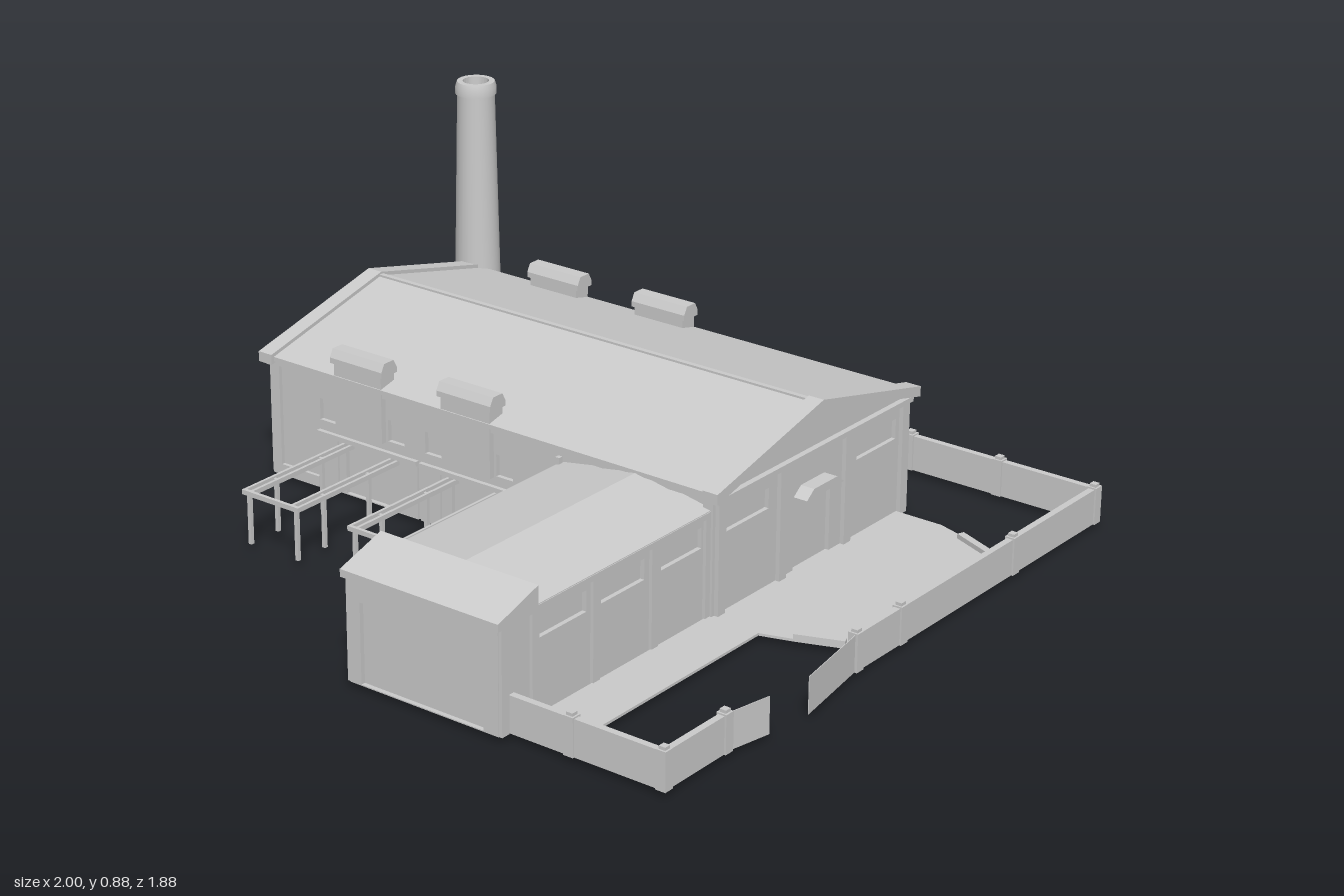
import * as THREE from 'three';
import { toCreasedNormals } from 'three/addons/utils/BufferGeometryUtils.js';

const mat = new THREE.MeshStandardMaterial({ color: 0xcccccc, side: THREE.DoubleSide });
const BASE = 0.015;

function add(parent, name, geo) {
  const m = new THREE.Mesh(geo, mat);
  m.name = name;
  parent.add(m);
  return m;
}

// Box given by its limits on each axis
function box(parent, name, x0, x1, y0, y1, z0, z1) {
  const m = add(parent, name, new THREE.BoxGeometry(x1 - x0, y1 - y0, z1 - z0));
  m.position.set((x0 + x1) / 2, (y0 + y1) / 2, (z0 + z1) / 2);
  return m;
}

// Polygon extruded along local z from w0 to w1
function prism(parent, name, pts, w0, w1, holes = []) {
  const shape = new THREE.Shape(pts.map(p => new THREE.Vector2(...p)));
  shape.holes = holes;
  const geo = new THREE.ExtrudeGeometry(shape, { depth: w1 - w0, bevelEnabled: false, curveSegments: 8 });
  geo.translate(0, 0, w0);
  return add(parent, name, geo);
}

// Local frame of a wall: x along the wall, y up, z outwards
function face(parent, name, x, z, angle) {
  const g = new THREE.Group();
  g.name = name;
  g.position.set(x, 0, z);
  g.rotation.y = angle;
  parent.add(g);
  return g;
}

function opening([u0, u1, v0, v1, arched]) {
  const p = new THREE.Path();
  p.moveTo(u0, v0);
  p.lineTo(u1, v0);
  if (arched) {
    const r = (u1 - u0) / 2;
    p.lineTo(u1, v1 - r);
    p.absarc(u0 + r, v1 - r, r, 0, Math.PI, false);
  } else {
    p.lineTo(u1, v1);
    p.lineTo(u0, v1);
  }
  p.closePath();
  return p;
}

// Thin wall with openings, each closed by a recessed pane
function wall(parent, pts, openings) {
  prism(parent, 'wall', pts, -0.015, 0, openings.map(opening));
  for (const [u0, u1, v0, v1] of openings)
    box(parent, 'recessedPane', u0 - 0.003, u1 + 0.003, v0 - 0.003, v1 + 0.003, -0.018, -0.012);
}

const rect = (u0, u1, v0, v1) => [[u0, v0], [u1, v0], [u1, v1], [u0, v1]];

// Upright strip standing on the ground between two plan points
function strip(parent, name, [x0, z0], [x1, z1], y0, y1, t) {
  const m = add(parent, name, new THREE.BoxGeometry(Math.hypot(x1 - x0, z1 - z0), y1 - y0, t));
  m.position.set((x0 + x1) / 2, (y0 + y1) / 2, (z0 + z1) / 2);
  m.rotation.y = -Math.atan2(z1 - z0, x1 - x0);
}

// Vent shaft with a bevelled cap on a long hall wall
function vent(side, u) {
  box(side, 'ventShaft', u - 0.08, u + 0.08, 0.2, 0.39, -0.035, 0.016);
  const cap = prism(side, 'ventCap',
    [[-0.03, 0.385], [0.03, 0.385], [0.03, 0.4], [0.018, 0.422], [-0.018, 0.422], [-0.03, 0.4]], -0.088, 0.088);
  cap.rotation.y = Math.PI / 2;
  cap.position.set(u, 0, -0.008);
}

function buildHall(root) {
  const hall = new THREE.Group();
  hall.name = 'mainHall';
  root.add(hall);
  const squares = [-0.72, -0.485, -0.36, -0.125];
  const vents = [-0.6, -0.24];
  const square = u => [u - 0.027, u + 0.027, 0.205, 0.265];

  // Front wall with two loading doors
  const front = face(hall, 'hallFront', 0, 0.13, 0);
  wall(front, rect(-0.91, 0.53, BASE, 0.35),
    [...squares.map(square), [-0.66, -0.47, 0.018, 0.165], [-0.3, -0.12, 0.018, 0.165]]);
  for (const c of [-0.58, -0.23]) {
    box(front, 'doorLintel', c - 0.17, c + 0.17, 0.165, 0.178, 0, 0.012);
    for (const s of [-1, 1]) box(front, 'doorJamb', c + s * 0.137 - 0.033, c + s * 0.137 + 0.033, BASE, 0.165, 0, 0.006);
  }
  box(front, 'plinth', -0.91, -0.75, BASE, 0.045, 0, 0.01);
  box(front, 'plinth', -0.06, 0.07, BASE, 0.045, 0, 0.01);

  // Back wall with arched windows
  const back = face(hall, 'hallBack', 0, -0.69, Math.PI);
  wall(back, rect(-0.53, 0.91, BASE, 0.35),
    [...squares.map(x => square(-x)), ...[0.18, 0.28, 0.38].map(x => [-x - 0.035, -x + 0.035, 0.1, 0.24, true])]);
  box(back, 'buttress', 0.39, 0.45, BASE, 0.11, 0, 0.02);

  for (const [side, dir] of [[front, 1], [back, -1]]) {
    const a = dir > 0 ? -0.91 : -0.53, b = dir > 0 ? 0.53 : 0.91;
    box(side, 'cornice', a, b, 0.325, 0.345, 0, 0.012);
    box(side, 'cornerPier', a, a + 0.03, BASE, 0.325, 0, 0.01);
    box(side, 'cornerPier', b - 0.03, b, BASE, 0.325, 0, 0.01);
    for (const u of vents) vent(side, u * dir);
  }

  // Gable ends, each with three bays
  const right = face(hall, 'rightGable', 0.53, -0.28, Math.PI / 2);
  const left = face(hall, 'leftGable', -0.91, -0.28, -Math.PI / 2);
  for (const g of [right, left]) {
    const windows = [[-0.365, -0.19, 0.23, 0.285], [0.19, 0.365, 0.23, 0.285]];
    windows.push(g === right ? [-0.08, 0.075, 0.018, 0.21] : [-0.09, 0.09, 0.23, 0.285]);
    wall(g, [[-0.41, BASE], [0.41, BASE], [0.41, 0.345], [0, 0.445], [-0.41, 0.345]], windows);
    for (const u of [-0.41, -0.155, 0.125, 0.38]) box(g, 'pilaster', u, u + 0.03, BASE, 0.32, 0, 0.012);
    box(g, 'tieBeam', -0.42, 0.42, 0.32, 0.334, 0, 0.016);
    prism(g, 'gableCoping',
      [[-0.437, 0.33], [0, 0.436], [0.437, 0.33], [0.437, 0.358], [0, 0.462], [-0.437, 0.358]], -0.02, 0.025);
  }
  const awning = prism(right, 'doorAwning', [[-0.08, 0.222], [0.08, 0.222], [0.05, 0.245], [-0.05, 0.245]], 0, 0.04);
  awning.position.x = -0.003;

  // Pitched roof and its ridge strip
  prism(right, 'hallRoof',
    [[-0.428, 0.338], [0, 0.44], [0.428, 0.338], [0.428, 0.35], [0, 0.452], [-0.428, 0.35]], -1.42, -0.015);
  box(hall, 'ridgeStrip', -0.9, 0.52, 0.447, 0.456, -0.287, -0.273);
}

function buildWing(root) {
  const wing = new THREE.Group();
  wing.name = 'frontWing';
  root.add(wing);
  const right = face(wing, 'wingRight', 0.515, 0.53, Math.PI / 2);
  const left = face(wing, 'wingLeft', 0.065, 0.53, -Math.PI / 2);
  for (const [g, s] of [[right, 1], [left, -1]]) {
    const win = [[-0.26, -0.08], [-0.025, 0.14], [0.205, 0.365]]
      .map(([a, b]) => (s > 0 ? [a, b] : [-b, -a])).map(([a, b]) => [a, b, 0.21, 0.265]);
    wall(g, rect(-0.4, 0.4, BASE, 0.3), win);
    for (const u of [-0.385, -0.275, -0.052, 0.172, 0.385])
      box(g, 'pilaster', s * u - 0.013, s * u + 0.013, BASE, 0.29, 0, 0.009);
    box(g, 'eaveBand', -0.4, 0.4, 0.285, 0.3, 0, 0.009);
  }
  const front = face(wing, 'wingFront', 0, 0.93, 0);
  wall(front, rect(0.065, 0.515, BASE, 0.3), [[0.1, 0.47, 0.018, 0.23]]);

  // Low gabled roof, with a sloping roof over the entrance end
  prism(wing, 'wingRoof',
    [[0.06, 0.29], [0.3, 0.33], [0.522, 0.29], [0.522, 0.302], [0.3, 0.343], [0.06, 0.302]], 0.13, 0.8);
  const porch = prism(wing, 'entranceRoof', [[-0.94, 0.285], [-0.795, 0.285], [-0.795, 0.35], [-0.94, 0.305]], 0.05, 0.524);
  porch.rotation.y = Math.PI / 2;
  box(wing, 'downpipe', 0.054, 0.066, 0, 0.32, 0.137, 0.15);
}

// Open frame in front of a loading door
function buildLoadingFrame(root, x0, x1) {
  const g = new THREE.Group();
  g.name = 'loadingFrame';
  root.add(g);
  for (const [x, s] of [[x0, 1], [x1, -1]]) {
    for (const o of [0.004, 0.026]) box(g, 'rail', x + s * o - 0.004, x + s * o + 0.004, 0.152, 0.165, 0.13, 0.52);
    for (const z of [0.24, 0.41, 0.51]) {
      box(g, 'leg', x + s * 0.015 - 0.005, x + s * 0.015 + 0.005, BASE, 0.155, z - 0.005, z + 0.005);
      box(g, 'tie', x + s * 0.015 - 0.012, x + s * 0.015 + 0.012, 0.152, 0.16, z - 0.004, z + 0.004);
    }
  }
  box(g, 'endRail', x0, x1, 0.152, 0.165, 0.512, 0.522);
}

function buildYard(root) {
  const yard = new THREE.Group();
  yard.name = 'yard';
  root.add(yard);
  // Paving: plan outline laid flat (second value is -z)
  const paving = prism(yard, 'paving', [[0.52, -0.89], [0.67, -0.89], [0.67, -0.14], [0.75, -0.115], [0.87, -0.07],
    [0.95, 0.02], [0.95, 0.5], [0.87, 0.58], [0.75, 0.635], [0.67, 0.66], [0.52, 0.66]], BASE, 0.022);
  paving.rotation.x = -Math.PI / 2;
  strip(yard, 'kerb', [0.75, -0.625], [0.87, -0.575], BASE, 0.035, 0.02);
  strip(yard, 'kerb', [0.75, 0.105], [0.87, 0.06], BASE, 0.035, 0.02);

  // Boundary walls and posts
  const runs = [
    [[0.08, -0.71], [0.395, -0.93], [0.955, -0.93], [0.955, 0.155]],
    [[0.955, 0.66], [0.955, 0.89], [0.52, 0.89]],
  ];
  for (const r of runs)
    for (let i = 1; i < r.length; i++) strip(yard, 'boundaryWall', r[i - 1], r[i], BASE, 0.112, 0.018);
  const posts = [[0.395, -0.93], [0.67, -0.93], [0.955, -0.93], [0.955, -0.54], [0.955, -0.04], [0.955, 0.145],
    [0.955, 0.665], [0.955, 0.89], [0.695, 0.89]];
  for (const [x, z] of posts) {
    box(yard, 'post', x - 0.014, x + 0.014, BASE, 0.116, z - 0.014, z + 0.014);
    box(yard, 'postCap', x - 0.009, x + 0.009, 0.116, 0.124, z - 0.009, z + 0.009);
  }
  // Gate leaves standing open
  strip(yard, 'gate', [0.96, 0.155], [0.999, 0.4], BASE, 0.112, 0.002);
  strip(yard, 'gate', [0.96, 0.66], [0.985, 0.535], BASE, 0.112, 0.002);
}

export function createModel() {
  const root = new THREE.Group();
  root.name = 'factory';
  buildHall(root);
  buildWing(root);
  buildLoadingFrame(root, -0.66, -0.47);
  buildLoadingFrame(root, -0.305, -0.12);
  buildYard(root);

  // Tapered chimney with a rim and hollow mouth
  const profile = [[0.07, BASE], [0.052, 0.845], [0.057, 0.845], [0.057, 0.865], [0.052, 0.88], [0.036, 0.88], [0.034, 0.78], [0, 0.78]];
  const stack = add(root, 'chimney',
    toCreasedNormals(new THREE.LatheGeometry(profile.map(p => new THREE.Vector2(...p)), 24), 0.5));
  stack.position.set(-0.93, 0, -0.73);
  return root;
}
